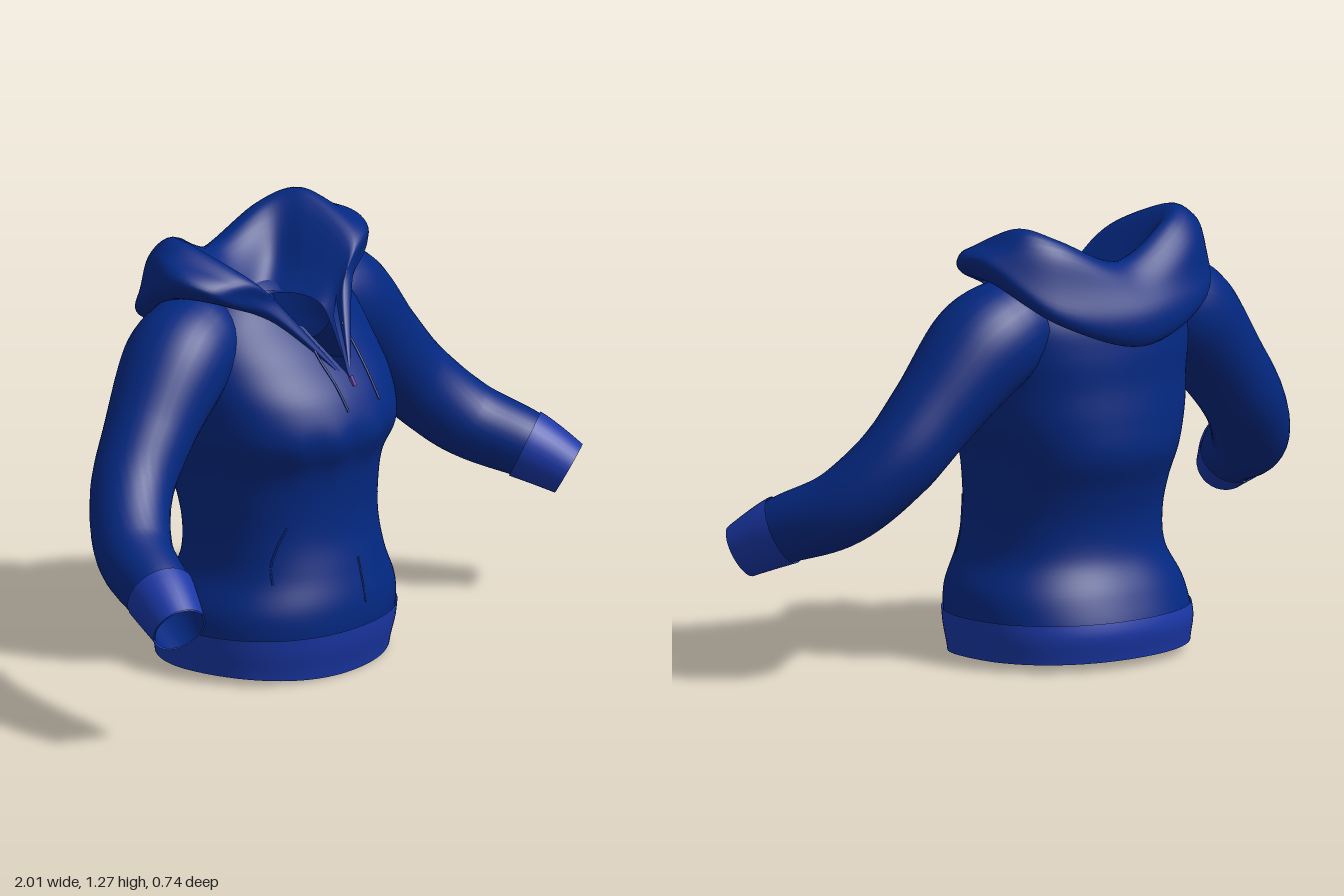
import * as THREE from 'three';
import { mergeVertices } from 'three/addons/utils/BufferGeometryUtils.js';

const mat = (name, color) => {
  const m = new THREE.MeshStandardMaterial({ color, side: THREE.DoubleSide });
  m.name = name;
  return m;
};

// Catmull-Rom through evenly spaced rows of numbers; t is in row units
function spline(keys, t) {
  const n = keys.length - 1;
  const i = Math.min(Math.max(Math.floor(t), 0), n - 1), f = t - i;
  const k = (j) => keys[Math.min(Math.max(j, 0), n)];
  return keys[i].map((b, c) => {
    const a = k(i - 1)[c], d = k(i + 1)[c], e = k(i + 2)[c];
    return b + 0.5 * f * (d - a + f * (2 * a - 5 * b + 4 * d - e + f * (3 * (b - d) + e - a)));
  });
}

// Smooth cloth surface from fn(u, v) -> [x, y, z], with seams welded
function sheet(fn, nu, nv, flip = false) {
  const pos = [], index = [];
  for (let j = 0; j <= nv; j++) for (let i = 0; i <= nu; i++) pos.push(...fn(i / nu, j / nv));
  for (let j = 0; j < nv; j++) {
    for (let i = 0; i < nu; i++) {
      const a = j * (nu + 1) + i, b = a + 1, d = a + nu + 1, c = d + 1;
      index.push(...(flip ? [a, c, b, a, d, c] : [a, b, c, a, c, d]));
    }
  }
  const g = new THREE.BufferGeometry();
  g.setAttribute('position', new THREE.Float32BufferAttribute(pos, 3));
  g.setIndex(index);
  const merged = mergeVertices(g, 1e-4);
  merged.computeVertexNormals();
  return merged;
}

// Torso sections every 0.1 in height: half width, front z, back z (last row is the inner neckline)
const BODY = [
  [0.355, 0.255, -0.335], [0.36, 0.28, -0.35], [0.35, 0.285, -0.32], [0.302, 0.265, -0.275],
  [0.29, 0.245, -0.27], [0.295, 0.245, -0.295], [0.31, 0.26, -0.335], [0.345, 0.295, -0.335],
  [0.355, 0.265, -0.325], [0.355, 0.195, -0.32], [0.335, 0.125, -0.3], [0.25, 0.08, -0.24],
  [0.1, 0.08, -0.125],
];
const E = 0.92;
const pw = (v) => Math.sign(v) * Math.abs(v) ** E;

// Point on the torso at an angle from the front; grow pushes it outward
function bodyPoint(angle, y, grow = 0) {
  const [hw, zf, zb] = spline(BODY, y * 10);
  const c = Math.cos(angle);
  const fold = 0.005 * Math.sin(angle * 15) * Math.max(c, 0) * Math.exp(-(((y - 0.67) / 0.06) ** 2));
  const drop = 0.025 - 0.024 * Math.max(c, 0) ** 2; // hem dips at the front
  const h = y > 1.1 ? 1.1 - (y - 1.1) * 0.7 : y + drop * Math.max(0, 1 - y / 0.14);
  return [(hw + grow) * pw(Math.sin(angle)), h, (zf + zb) / 2 + ((zf - zb) / 2 + grow + fold) * pw(c)];
}
const angleAt = (x, y) => Math.sign(x) * Math.asin(Math.min(1, Math.abs(x) / spline(BODY, y * 10)[0]) ** (1 / E));

// Sleeve stations: x, y, z, radius
const ARM = [
  [0.24, 0.98, -0.11, 0.13], [0.31, 0.967, -0.1, 0.148], [0.405, 0.915, -0.092, 0.152], [0.55, 0.768, -0.073, 0.128],
  [0.675, 0.63, -0.04, 0.117], [0.79, 0.503, 0.055, 0.11], [0.873, 0.43, 0.205, 0.096], [0.932, 0.362, 0.315, 0.074],
];

function sleevePoint(side, u, t, grow) {
  const [x, y, z, r] = spline(ARM, t);
  const p0 = spline(ARM, Math.max(t - 0.05, 0)), p1 = spline(ARM, Math.min(t + 0.05, 7));
  const T = new THREE.Vector3(p1[0] - p0[0], p1[1] - p0[1], p1[2] - p0[2]).normalize();
  const B = new THREE.Vector3().crossVectors(T, new THREE.Vector3(0, 1, 0)).normalize();
  const A = new THREE.Vector3().crossVectors(B, T);
  const a = u * Math.PI * 2;
  const p = A.multiplyScalar(Math.cos(a)).addScaledVector(B, Math.sin(a)).multiplyScalar(r + grow);
  return [side * (x + p.x), y + p.y, z + p.z];
}

// Hood profiles from inner neckline over the rim to the tucked outer edge
const HOOD = [
  [0, 1.0, -0.12, 0, 1.08, -0.165, 0, 1.155, -0.26, 0, 1.1, -0.325, 0, 1.02, -0.375, 0, 0.93, -0.36, 0, 0.92, -0.3],
  [0.07, 1.02, -0.1, 0.14, 1.1, -0.15, 0.205, 1.23, -0.22, 0.26, 1.18, -0.275, 0.29, 1.08, -0.3, 0.28, 1.01, -0.3, 0.24, 1.01, -0.25],
  [0.095, 1.03, -0.03, 0.16, 1.1, -0.05, 0.28, 1.255, -0.12, 0.36, 1.225, -0.14, 0.405, 1.18, -0.13, 0.38, 1.12, -0.13, 0.32, 1.1, -0.12],
  [0.095, 1.02, 0.05, 0.15, 1.07, 0.05, 0.24, 1.17, 0.06, 0.32, 1.18, 0.045, 0.38, 1.155, 0.02, 0.34, 1.12, 0.03, 0.28, 1.09, 0.02],
  [0.08, 0.98, 0.1, 0.1, 1.0, 0.115, 0.13, 1.05, 0.112, 0.18, 1.08, 0.1, 0.2, 1.07, 0.095, 0.18, 1.04, 0.095, 0.15, 1.02, 0.085],
];
HOOD.push(Array.from({ length: 21 }, (_, i) => [0.005 + i * 0.0008, 0.855, 0.224][i % 3]));
const mirrorRow = (row) => row.map((v, i) => (i % 3 ? v : -v));
const HOOD_LOOP = [...HOOD.slice(1).reverse().map(mirrorRow), ...HOOD];

function hoodPoint(u, v) {
  const row = spline(HOOD_LOOP, u * 10);
  const profile = Array.from({ length: 7 }, (_, i) => row.slice(i * 3, i * 3 + 3));
  const p = spline(profile, v * 6);
  const soft = Math.sin(u * Math.PI) ** 2 * Math.sin(v * Math.PI);
  p[1] += 0.008 * soft * Math.sin(u * 23 + v * 14);
  p[2] += 0.008 * soft * Math.sin(v * 19 + u * 5);
  return p;
}

export function createModel() {
  const group = new THREE.Group();
  group.name = 'hoodedSweatshirt';
  const cloth = mat('blueCloth', 0x032881);
  const ribbing = mat('ribbedBand', 0x1a37a6);
  const violet = mat('zipPull', 0x6b3fa0);
  const add = (name, geometry, material) => {
    const mesh = new THREE.Mesh(geometry, material);
    mesh.name = name;
    group.add(mesh);
    return mesh;
  };

  // Torso with an open V at the front neck, widening under the hood
  add('torso', sheet((u, v) => {
    const y = v * 1.2;
    const gap = 0.1 * Math.min(Math.max((y - 0.86) / 0.2, 0), 1) + Math.max(0, y - 1);
    const g = angleAt(gap, y);
    return bodyPoint(g + u * (2 * Math.PI - 2 * g), y);
  }, 96, 72), cloth);

  // Hem band over the lower edge
  add('hemBand', sheet((u, v) => bodyPoint(u * 2 * Math.PI, v * 0.137, 0.005), 96, 6), ribbing);

  add('hood', sheet(hoodPoint, 90, 36), cloth);

  // Cord or seam that follows the front of the torso
  const cord = (name, pts, radius, lift) => {
    const path = pts.map(([x, y]) => new THREE.Vector3(...bodyPoint(angleAt(x, y), y, lift)));
    add(name, new THREE.TubeGeometry(new THREE.CatmullRomCurve3(path), 24, radius, 6), cloth);
  };

  for (const side of [1, -1]) {
    const label = side > 0 ? 'left' : 'right';
    add(label + 'Sleeve', sheet((u, v) => sleevePoint(side, u, v * 7, 0), 32, 56, side < 0), cloth);
    add(label + 'Cuff', sheet((u, v) => sleevePoint(side, u, 6 + v, 0.005), 32, 8, side < 0), ribbing);
    cord(label + 'Drawstring', [[0.08, 0.98], [0.082, 0.92], [0.075, 0.85], [0.072, 0.78]].map(([x, y]) => [x * side, y]), 0.0035, 0.01);
    cord(label + 'PocketOpening', [[0.215, 0.45], [0.235, 0.4], [0.253, 0.34], [0.26, 0.29]].map(([x, y]) => [x * side, y]), 0.003, 0);
  }
  cord('centreSeam', [[0, 0.2], [0, 0.25], [0, 0.33]], 0.003, 0);

  // Small pull at the point of the V
  const pull = add('zipPull', new THREE.BoxGeometry(0.012, 0.03, 0.008), violet);
  pull.position.set(0, 0.845, 0.24);
  pull.rotation.x = -0.5;
  return group;
}
